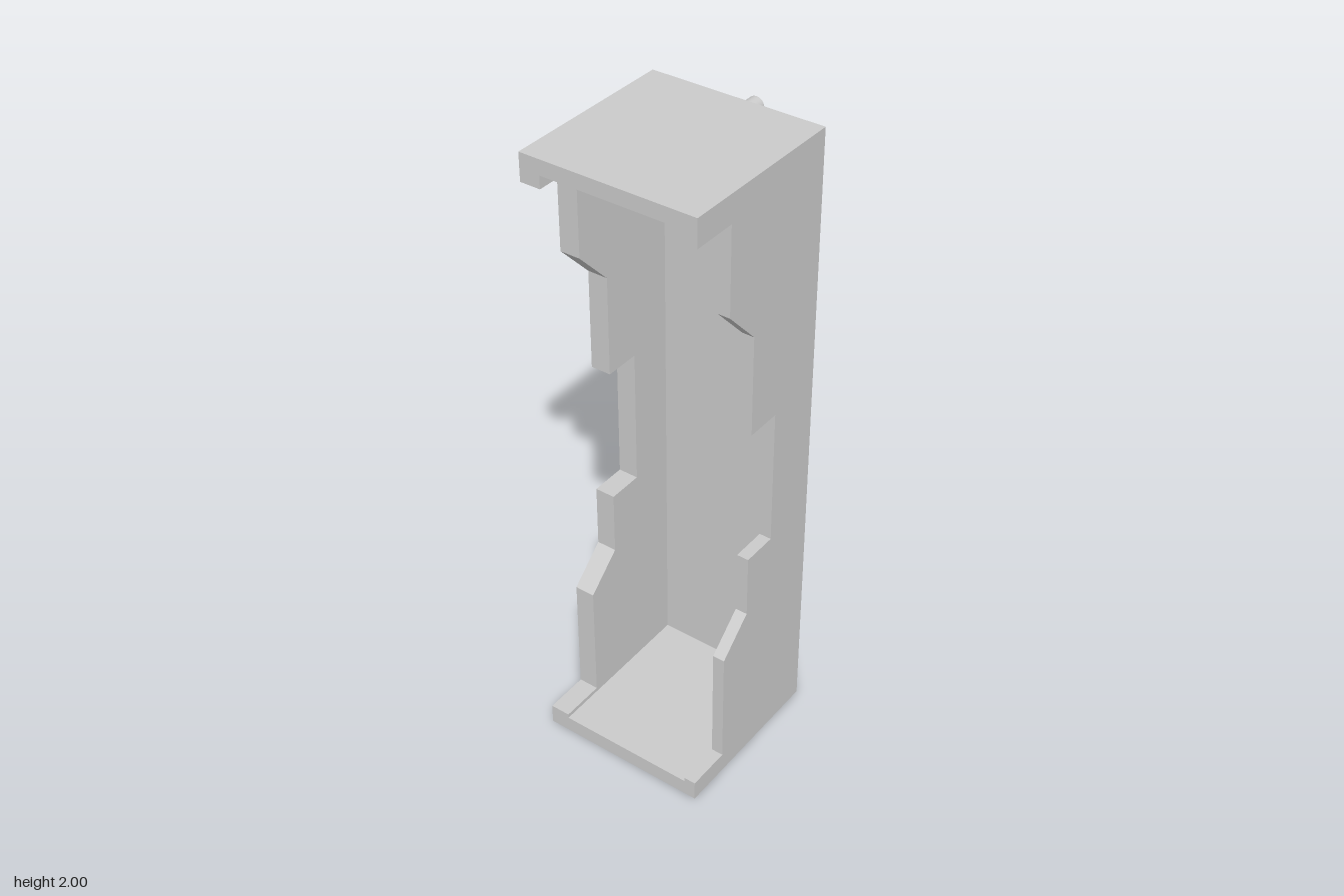
import * as THREE from 'three';

const material = new THREE.MeshStandardMaterial({ color: 0xcccccc, flatShading: true });
const smooth = new THREE.MeshStandardMaterial({ color: 0xcccccc });

// Side wall outline as [z, y]
const outline = [
  [-0.232, 0], [0.322, 0], [0.322, 0.066], [0.18, 0.066], [0.18, 0.456],
  [0.068, 0.558], [0.068, 0.764], [-0.046, 0.764], [-0.046, 1.206], [0.068, 1.206],
  [0.068, 1.524], [0.18, 1.642], [0.18, 1.915], [0.322, 1.915], [0.322, 2], [-0.232, 2],
];

export function createModel() {
  const group = new THREE.Group();
  const add = (name, geometry, mat = material) => {
    const mesh = new THREE.Mesh(geometry, mat);
    mesh.name = name;
    group.add(mesh);
    return mesh;
  };
  const box = (name, [x0, x1], [y0, y1], [z0, z1]) =>
    add(name, new THREE.BoxGeometry(x1 - x0, y1 - y0, z1 - z0))
      .position.set((x0 + x1) / 2, (y0 + y1) / 2, (z0 + z1) / 2);

  // Stepped side walls, the right one thicker
  const wall = (name, x0, x1) => {
    const shape = new THREE.Shape(outline.map(([z, y]) => new THREE.Vector2(-z, y)));
    const geometry = new THREE.ExtrudeGeometry(shape, { depth: x1 - x0, bevelEnabled: false });
    geometry.rotateY(Math.PI / 2).translate(x0, 0, 0);
    add(name, geometry);
  };
  wall('rightWall', -0.272, -0.208);
  wall('leftWall', 0.234, 0.272);

  // End plates and back panel between the walls
  const inner = [-0.208, 0.234];
  box('bottomPlate', inner, [0, 0.052], [-0.232, 0.322]);
  box('topPlate', inner, [1.954, 2], [-0.232, 0.322]);
  box('backPanel', inner, [0.052, 1.954], [-0.232, -0.194]);

  // Pins on the back
  for (const [name, y] of [['lowerPin', 0.067], ['upperPin', 1.94]]) {
    const geometry = new THREE.CylinderGeometry(0.026, 0.026, 0.092, 32).rotateX(Math.PI / 2);
    add(name, geometry, smooth).position.set(0, y, -0.277);
  }
  return group;
}
